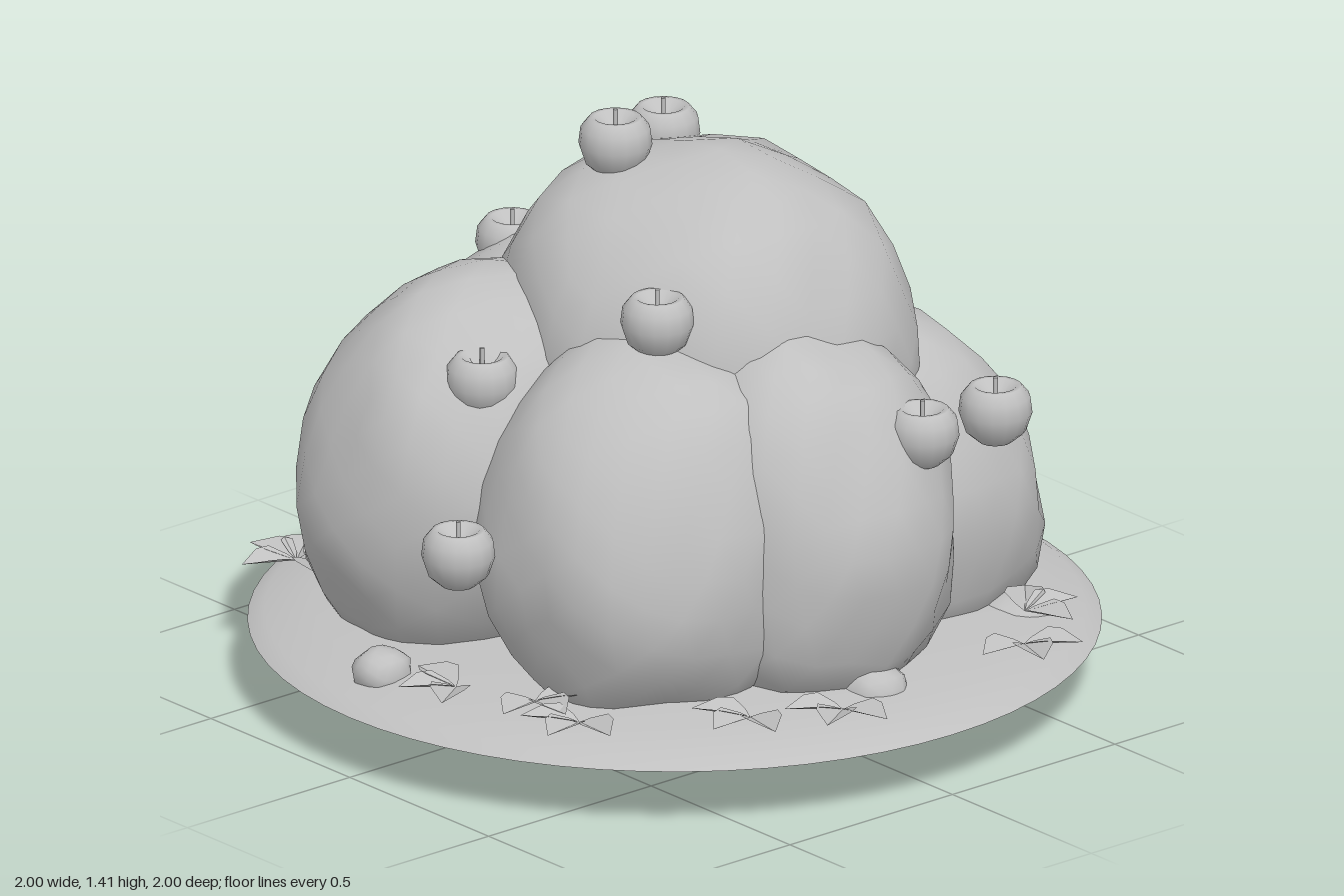
import * as THREE from 'three';
import { mergeVertices } from 'three/addons/utils/BufferGeometryUtils.js';

const grey = new THREE.MeshStandardMaterial({ color: 0xc0c0c0 });
const greyThin = new THREE.MeshStandardMaterial({ color: 0xc0c0c0, side: THREE.DoubleSide });
greyThin.name = 'plain grey thin';
grey.name = 'plain grey';

// Lumpy rounded mass: a coarse ellipsoid with gentle waves, leaning inward as it rises, cut off at a floor height
function lump(name, [x, y, z], [rx, ry, rz], { seed = 0, detail = 4, power = 2.1, wave = 0.03, lean = 0, floor = -9 } = {}) {
  let geo = new THREE.IcosahedronGeometry(1, detail);
  geo.deleteAttribute('normal');
  geo.deleteAttribute('uv');
  geo = mergeVertices(geo, 1e-4);
  const p = geo.attributes.position;
  const v = new THREE.Vector3();
  for (let i = 0; i < p.count; i++) {
    v.fromBufferAttribute(p, i).normalize();
    const box = (Math.abs(v.x) ** power + Math.abs(v.y) ** power + Math.abs(v.z) ** power) ** (-1 / power);
    const w = Math.sin(v.x * 5.3 + seed) * Math.cos(v.z * 4.9 + seed * 1.7)
      + Math.sin(v.y * 5.7 + seed * 2.3) * Math.cos(v.x * 6.1 - seed)
      + 0.5 * Math.sin(v.z * 9.1 + v.y * 7.3 + seed * 3.1);
    v.multiplyScalar(box * (1 + wave * w));
    p.setXYZ(i, x * (1 - lean * v.y) + v.x * rx, Math.max(floor, y + v.y * ry), z * (1 - lean * v.y) + v.z * rz);
  }
  geo.computeVertexNormals();
  const mesh = new THREE.Mesh(geo, grey);
  mesh.name = name;
  return mesh;
}

// Round berry with a dimpled top and a short stem
const berryProfile = [[0, -0.085], [0.04, -0.078], [0.072, -0.05], [0.087, -0.005], [0.082, 0.035],
  [0.062, 0.06], [0.05, 0.06], [0.025, 0.04], [0, 0.032]].map(([x, y]) => new THREE.Vector2(x, y));
const berryGeo = new THREE.LatheGeometry(berryProfile, 16);
const stemGeo = new THREE.CylinderGeometry(0.006, 0.006, 0.05, 6);

function berry(x, y, z) {
  const g = new THREE.Group();
  g.name = 'berry';
  const fruit = new THREE.Mesh(berryGeo, grey);
  fruit.name = 'berryFruit';
  const stem = new THREE.Mesh(stemGeo, grey);
  stem.name = 'berryStem';
  stem.position.y = 0.055;
  g.add(fruit, stem);
  g.position.set(x, y, z);
  return g;
}

// Pointed leaf folded along its midrib, lying outward along +z
function leafGeometry() {
  const half = [[0.02, 0.015], [0.048, 0.05], [0.042, 0.085]];
  const pos = [];
  for (const s of [1, -1]) {
    const edge = [[0, 0], ...half, [0, 0.14]].map(([x, l]) => [s * x, x * 0.5 + l * 0.08, l]);
    const rib = [0, 0.0056, 0.07];
    for (let i = 0; i < edge.length - 1; i++) {
      const [a, b] = s > 0 ? [edge[i + 1], edge[i]] : [edge[i], edge[i + 1]];
      pos.push(...rib, ...a, ...b);
    }
  }
  const geo = new THREE.BufferGeometry();
  geo.setAttribute('position', new THREE.Float32BufferAttribute(pos, 3));
  geo.computeVertexNormals();
  return geo;
}
const leafGeo = leafGeometry();

// Fan of three leaves
function leafCluster(x, z, turn) {
  const g = new THREE.Group();
  g.name = 'leafCluster';
  for (const a of [-1.1, 0, 1.1]) {
    const leaf = new THREE.Mesh(leafGeo, greyThin);
    leaf.name = 'leaf';
    leaf.rotation.y = a;
    g.add(leaf);
  }
  g.position.set(x, 0.265 - 0.05 * (x * x + z * z), z);
  g.rotation.y = turn;
  return g;
}

// Flat flower of five petals round a small centre
function flower(x, y, z) {
  const g = new THREE.Group();
  g.name = 'flower';
  const petalGeo = new THREE.SphereGeometry(0.026, 10, 6);
  for (let i = 0; i < 6; i++) {
    const part = new THREE.Mesh(petalGeo, grey);
    part.name = i < 5 ? 'petal' : 'flowerCentre';
    const a = i * Math.PI * 0.4, r = i < 5 ? 0.045 : 0;
    part.position.set(Math.cos(a) * r, 0, Math.sin(a) * r);
    part.scale.set(i < 5 ? 1 : 0.7, 0.3, i < 5 ? 1 : 0.7);
    g.add(part);
  }
  g.position.set(x, y, z);
  return g;
}

export function createModel() {
  const model = new THREE.Group();
  model.name = 'berryBush';

  // Shallow domed ground disc with a flat underside
  const dome = [[1, 0.16], [0.96, 0.185], [0.85, 0.212], [0.65, 0.235], [0.35, 0.25], [0, 0.255]];
  const top = new THREE.Mesh(new THREE.LatheGeometry(dome.map(([x, y]) => new THREE.Vector2(x, y)), 64), grey);
  top.name = 'groundTop';
  const base = new THREE.Mesh(new THREE.CircleGeometry(1, 64), grey);
  base.name = 'groundBase';
  base.rotation.x = Math.PI / 2;
  base.position.y = 0.16;
  model.add(top, base);

  // Foliage masses: name, centre, radii
  const foliage = [
    ['crownFoliage', [0.03, 0.86, -0.06], [0.51, 0.47, 0.48]],
    ['frontRightFoliage', [-0.26, 0.57, 0.37], [0.41, 0.48, 0.45]],
    ['frontLeftFoliage', [0.3, 0.56, 0.33], [0.39, 0.46, 0.41]],
    ['leftFoliage', [0.46, 0.57, 0.02], [0.37, 0.46, 0.37]],
    ['rightFoliage', [-0.41, 0.53, 0], [0.38, 0.48, 0.38]],
    ['backLeftFoliage', [0.21, 0.46, -0.41], [0.4, 0.44, 0.4]],
    ['backRightFoliage', [-0.17, 0.51, -0.35], [0.37, 0.48, 0.36]],
  ];
  foliage.forEach(([name, c, r], i) =>
    model.add(lump(name, c, r, { seed: i * 1.9 + 0.4, floor: 0.19, lean: i ? 0.1 : 0 })));

  // Undersides that poke through the disc
  model.add(lump('deepRoot', [0.17, 0.2, -0.29], [0.38, 0.2, 0.31], { seed: 2, detail: 2, power: 1.7, wave: 0.04 }));
  model.add(lump('shallowRoot', [-0.25, 0.19, 0.41], [0.27, 0.09, 0.22], { seed: 5, detail: 2, wave: 0.04 }));

  // Stones: centre and radii
  const stones = [
    [-0.87, 0.19, -0.15, 0.125, 0.08, 0.1], [-0.79, 0.195, 0.25, 0.075, 0.055, 0.075],
    [-0.07, 0.215, 0.84, 0.065, 0.055, 0.07], [0.74, 0.2, 0.03, 0.085, 0.07, 0.08],
    [0.56, 0.18, -0.57, 0.1, 0.06, 0.09],
  ];
  stones.forEach(([x, y, z, ...r], i) =>
    model.add(lump('stone', [x, y, z], r, { seed: i * 2.1, detail: 2, power: 2.3, wave: 0.05 })));

  // Berries
  const berries = [
    [-0.12, 1.34, 0.08], [-0.24, 1.27, -0.17], [-0.42, 0.94, -0.33], [-0.55, 0.95, 0.03], [0.64, 0.76, -0.44],
    [0.74, 0.81, -0.13], [0.3, 1.07, 0.31], [0.18, 0.58, 0.82], [-0.05, 0.88, 0.55],
  ];
  for (const b of berries) model.add(berry(...b));

  // Fallen leaves: x, z, turn
  const leaves = [
    [-0.36, -0.79, 2.6], [-0.25, -0.82, 3.6], [-0.37, -0.66, 4], [-0.65, -0.56, 4.2], [-0.55, -0.53, 1],
    [0.64, -0.53, 2.9], [0.79, -0.4, 1.2], [0.84, 0.2, 0.6], [0.74, 0.4, 0.2], [0.5, 0.72, 0.3],
    [0.34, 0.72, 1.4], [0.15, 0.8, 5.8], [-0.73, 0.54, 4.9], [-0.72, 0.52, 2.2],
  ];
  for (const l of leaves) model.add(leafCluster(...l));

  model.add(flower(-0.12, 0.228, -0.82));
  return model;
}
